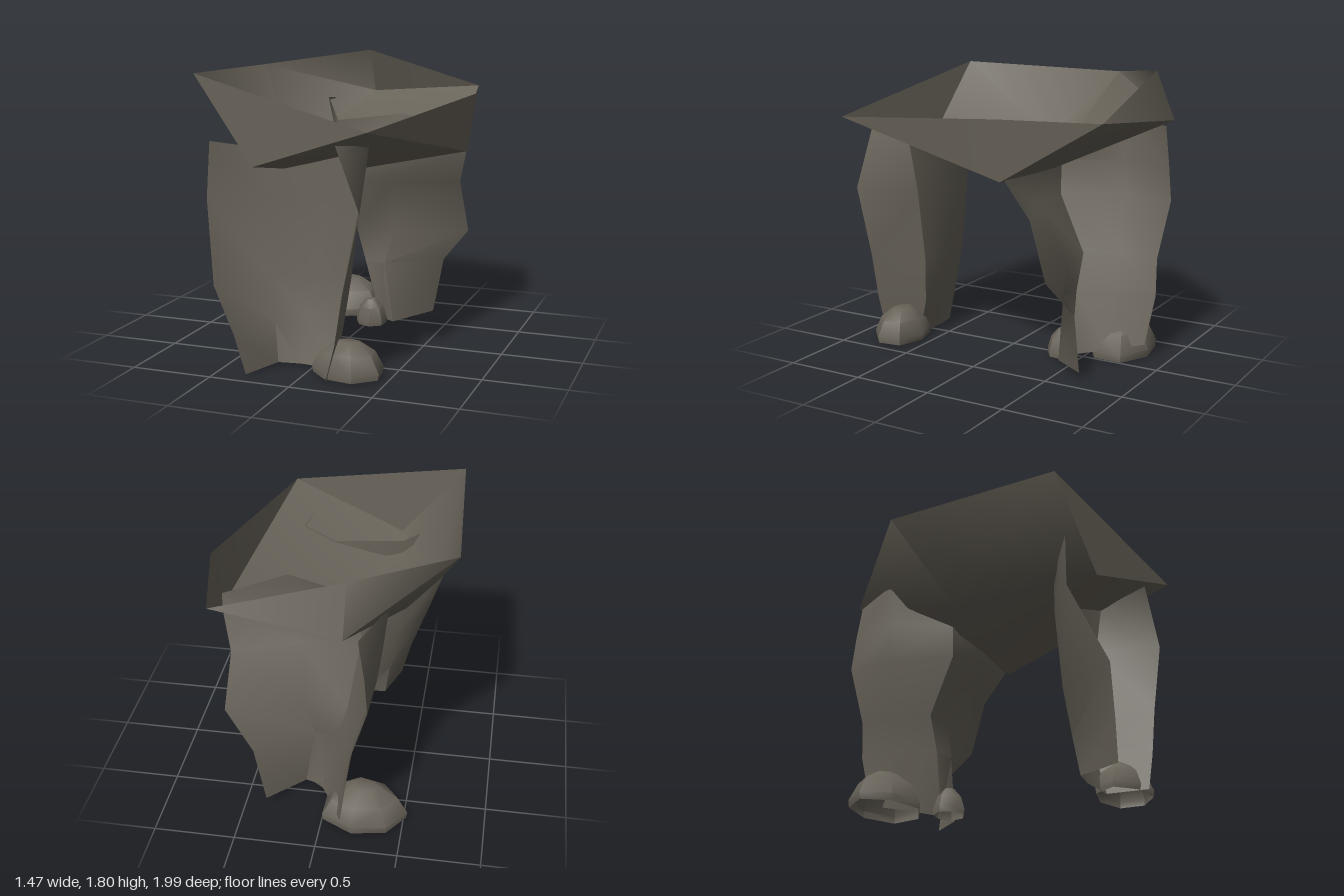
import * as THREE from 'three';
import { toCreasedNormals } from 'three/addons/utils/BufferGeometryUtils.js';
import { ConvexGeometry } from 'three/addons/geometries/ConvexGeometry.js';

// Every part is an open shell, so both sides show
const stone = new THREE.MeshStandardMaterial({ color: 0x69645a, side: THREE.DoubleSide });
stone.name = 'weathered stone';

function mesh(name, positions, crease) {
  const g = new THREE.BufferGeometry();
  g.setAttribute('position', new THREE.Float32BufferAttribute(positions, 3));
  const m = new THREE.Mesh(toCreasedNormals(g, crease), stone);
  m.name = name;
  return m;
}

// Triangle corners of a convex hull, keeping only faces whose normal passes the test
function hullFaces(points, keep) {
  const p = new ConvexGeometry(points.map((v) => new THREE.Vector3(...v))).getAttribute('position');
  const out = [], normal = new THREE.Vector3();
  for (let i = 0; i < p.count; i += 3) {
    const [a, b, c] = [0, 1, 2].map((k) => new THREE.Vector3().fromBufferAttribute(p, i + k));
    new THREE.Triangle(a, b, c).getNormal(normal);
    if (keep(normal)) out.push(...a, ...b, ...c);
  }
  return out;
}

// Bent sheet through rows of [x, y, z] points, bottom row first
function sheet(rows) {
  const out = [];
  for (let r = 0; r < rows.length - 1; r++) {
    const low = rows[r], high = rows[r + 1];
    for (let i = 0; i < low.length - 1; i++) {
      out.push(low[i], low[i + 1], high[i + 1], low[i], high[i + 1], high[i]);
    }
  }
  return out.flat();
}

// Row of [x, z] corners at one height
const level = (y, row) => row.map(([x, z]) => [x, y, z]);

// Small domed rock, open underneath: wide base, shoulder ring and a flat crown
function rock(name, x, z, rx, rz, h, y0, turn) {
  const points = [];
  for (const [f, k] of [[0, 0.97], [0.2, 1], [0.68, 0.76], [1, 0.32]]) {
    for (let i = 0; i < 7; i++) {
      const a = turn + (i / 7) * Math.PI * 2;
      const wobble = 1 + 0.06 * Math.sin(i * 2.3 + turn);
      points.push([x + Math.cos(a) * rx * k * wobble, y0 + h * f, z + Math.sin(a) * rz * k * wobble]);
    }
  }
  return mesh(name, hullFaces(points, (n) => n.y > -0.9), 0.8);
}

// Dished slab: a rim over a keeled underside, open at the top
function capstone() {
  const rim = [
    [0.46, 1.48, 0.99], [0.73, 1.585, -0.3], [0.6, 1.585, -0.9],
    [-0.17, 1.81, -0.88], [-0.74, 1.73, -0.37], [-0.69, 1.75, 0.75],
  ];
  const under = [
    [-0.17, 1.52, -1.0], [0.68, 1.22, -0.3], [-0.05, 1.09, -0.05],
    [-0.42, 1.19, -0.09], [-0.6, 1.3, 0.1], [-0.28, 1.2, 0.55], [-0.29, 1.23, 0.82],
  ];
  return mesh('capstone', hullFaces([...rim, ...under], (n) => n.y < 0.6), 1.0);
}

export function createModel() {
  const group = new THREE.Group();
  group.name = 'stoneTable';
  group.add(capstone());

  // Front upright: bent sheet hollow towards the front, with a return on the left
  // Corners: left edge, left corner, two along the wall, right edge
  group.add(mesh('frontUpright', sheet([
    level(0.02, [[0.18, 0.89], [0.14, 0.64], [-0.08, 0.62], [-0.22, 0.64], [-0.31, 0.91]]),
    level(0.25, [[0.24, 0.9], [0.17, 0.57], [-0.04, 0.56], [-0.25, 0.61], [-0.37, 0.93]]),
    level(0.55, [[0.29, 0.91], [0.21, 0.54], [0, 0.52], [-0.3, 0.58], [-0.48, 0.96]]),
    level(1.02, [[0.4, 0.93], [0.27, 0.55], [0.05, 0.52], [-0.34, 0.56], [-0.61, 0.77]]),
    [[0.25, 1.39, 0.91], [0.33, 1.35, 0.57], [0.12, 1.28, 0.52], [-0.32, 1.3, 0.55], [-0.59, 1.36, 0.76]],
  ]), 1.0));

  // Back upright: the same kind of sheet turned round, hollow towards the back
  // Corners: right edge, return, right corner, wall, left edge
  group.add(mesh('backUpright', sheet([
    [[-0.13, 0.11, -0.86], [-0.04, 0.07, -0.65], [0.06, 0.03, -0.45], [0.16, 0.02, -0.41], [0.37, 0.05, -0.66]],
    level(0.42, [[-0.17, -0.91], [-0.13, -0.66], [-0.04, -0.43], [0.1, -0.41], [0.44, -0.66]]),
    level(0.65, [[-0.2, -0.9], [-0.2, -0.66], [-0.11, -0.44], [0.15, -0.46], [0.63, -0.57]]),
    level(1.0, [[-0.3, -0.94], [-0.31, -0.62], [-0.16, -0.25], [0.2, -0.29], [0.6, -0.45]]),
    level(1.22, [[-0.28, -0.93], [-0.34, -0.6], [-0.17, -0.25], [0.25, -0.25], [0.67, -0.33]]),
    [[-0.24, 1.47, -0.92], [-0.37, 1.5, -0.6], [-0.2, 1.38, -0.33], [0.28, 1.45, -0.24], [0.67, 1.33, -0.32]],
  ]), 1.0));

  // Packing rocks at the feet
  group.add(rock('frontRock', 0.25, 0.7, 0.21, 0.17, 0.2, 0.02, 0.3));
  group.add(rock('backRock', -0.25, -0.66, 0.26, 0.21, 0.23, 0.01, 0.45));
  group.add(rock('smallRock', 0.02, -0.37, 0.1, 0.1, 0.17, 0.01, 0.5));

  return group;
}
